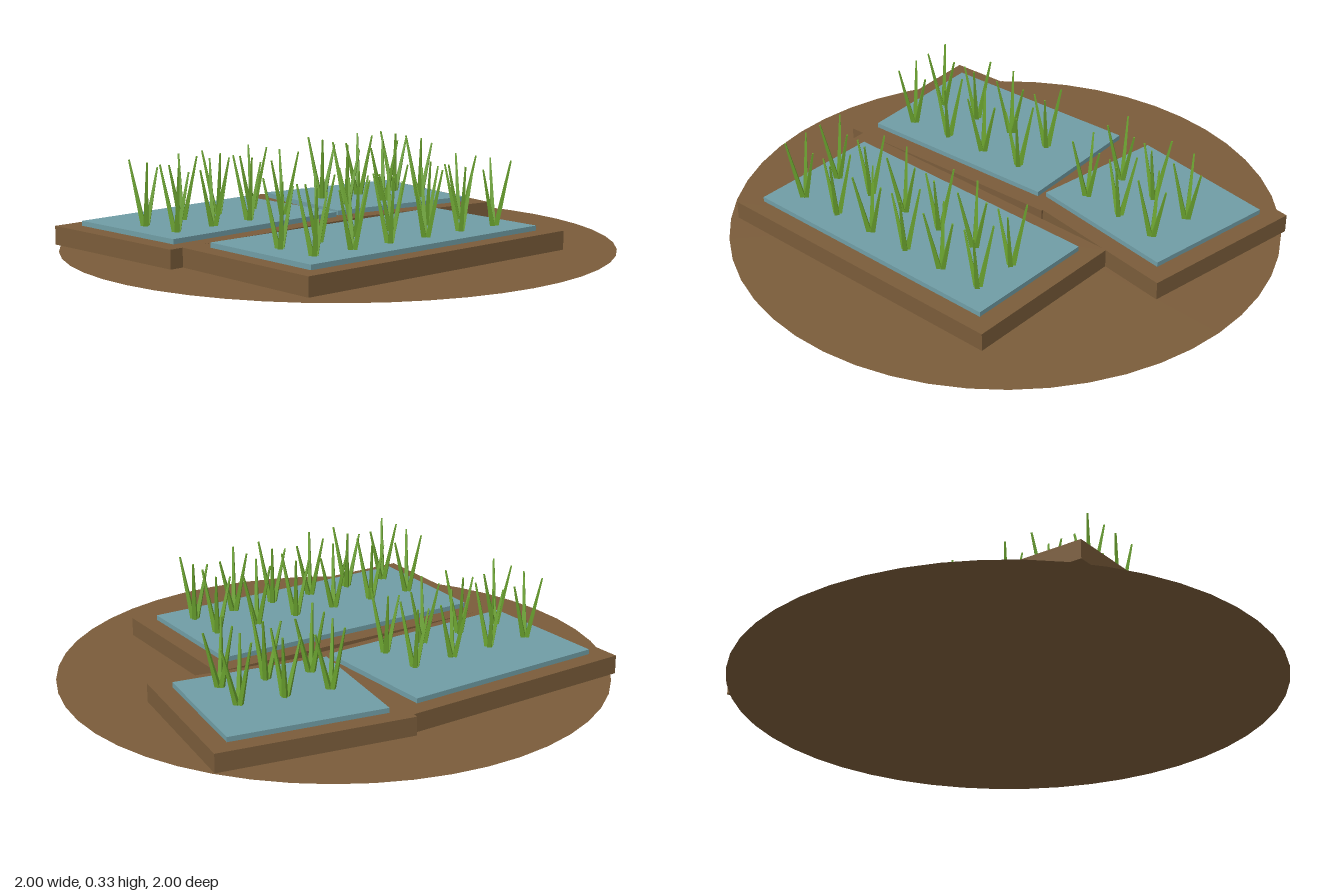
import * as THREE from 'three';
import { mergeGeometries } from 'three/addons/utils/BufferGeometryUtils.js';

const soil = new THREE.MeshStandardMaterial({ name: 'soil', color: 0x7a5c3a, side: THREE.DoubleSide });
const water = new THREE.MeshStandardMaterial({ name: 'water', color: 0x709da5 });
const grass = new THREE.MeshStandardMaterial({ name: 'grass', color: 0x6ba32f, flatShading: true });

const BANK_BOTTOM = 0.01, BANK_TOP = 0.078, WATER_TOP = 0.096;

// Terraced plots: centre, turn about y, water size, shoot columns
const PLOTS = [
  { name: 'backLeftPlot', x: -0.341, z: -0.31, turn: 0.1, w: 0.78, d: 0.507, cols: 4, shift: -0.036 },
  { name: 'backRightPlot', x: 0.408, z: -0.342, turn: -0.095, w: 0.58, d: 0.51, cols: 3, shift: -0.014 },
  { name: 'frontPlot', x: -0.101, z: 0.339, turn: 0.05, w: 1.055, d: 0.513, cols: 6, shift: 0 },
];

// One tuft: three slim, blunt-tipped blades fanning outwards
function tuftGeometry() {
  const up = new THREE.Vector3(0, 1, 0);
  const blades = [0.203, 0.232, 0.232].map((rise, i) => {
    const a = (i * Math.PI * 2) / 3;
    const out = new THREE.Vector3(Math.cos(a), 0, Math.sin(a));
    const base = out.clone().multiplyScalar(0.008);
    const span = out.clone().multiplyScalar(0.05).setY(rise);
    const length = span.length();
    const blade = new THREE.CylinderGeometry(0.004, 0.012, length, 4);
    blade.translate(0, length / 2, 0);
    blade.applyQuaternion(new THREE.Quaternion().setFromUnitVectors(up, span.normalize()));
    return blade.translate(base.x, 0, base.z);
  });
  return mergeGeometries(blades);
}

function slab(name, w, d, bottom, top, material) {
  const mesh = new THREE.Mesh(new THREE.BoxGeometry(w, top - bottom, d), material);
  mesh.name = name;
  mesh.position.y = (bottom + top) / 2;
  return mesh;
}

export function createModel() {
  const model = new THREE.Group();
  model.name = 'ricePaddies';

  // Flat round ground
  const ground = new THREE.Mesh(new THREE.CircleGeometry(1, 48).rotateX(-Math.PI / 2), soil);
  ground.name = 'ground';
  model.add(ground);

  const tuft = tuftGeometry();
  for (const p of PLOTS) {
    const plot = new THREE.Group();
    plot.name = p.name;
    plot.position.set(p.x, 0, p.z);
    plot.rotation.y = p.turn;

    // Earth bank with a shallow sheet of water on top
    plot.add(slab('earthBank', p.w + 0.138, p.d + 0.134, BANK_BOTTOM, BANK_TOP, soil));
    plot.add(slab('waterSheet', p.w, p.d, BANK_TOP, WATER_TOP, water));

    // Two rows of shoots, alternately turned around
    for (let row = 0; row < 2; row++) {
      for (let col = 0; col < p.cols; col++) {
        const shoot = new THREE.Mesh(tuft, grass);
        shoot.name = 'riceShoot';
        shoot.position.set((col - (p.cols - 1) / 2) * 0.169 + p.shift, WATER_TOP, -0.019 + row * 0.17);
        shoot.rotation.y = (col % 2) * Math.PI;
        plot.add(shoot);
      }
    }
    model.add(plot);
  }
  return model;
}
